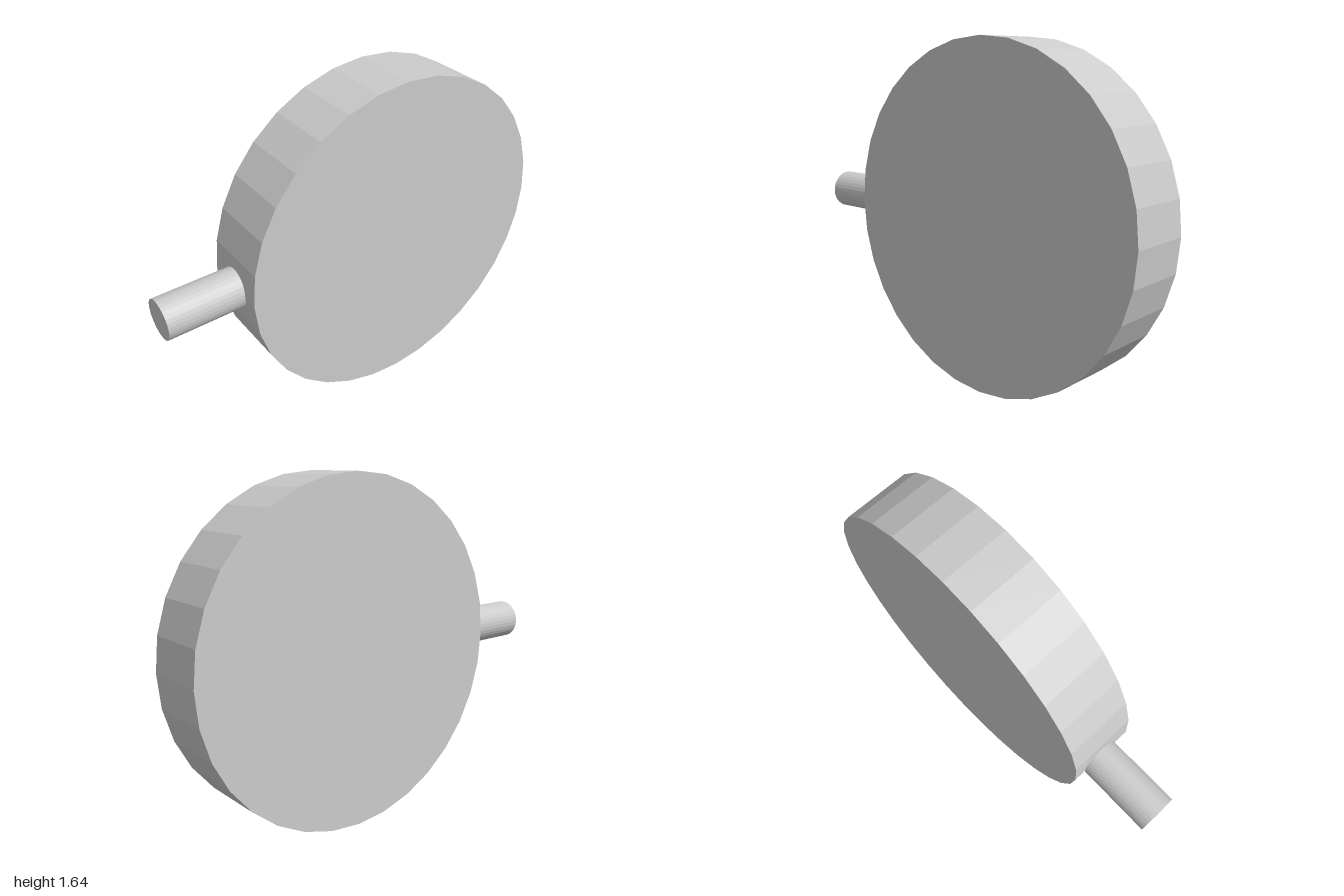
import * as THREE from 'three';

export function createModel() {
  const group = new THREE.Group();
  const material = new THREE.MeshStandardMaterial({ color: 0xcccccc, flatShading: true });
  const radius = 0.82;

  // Thick faceted disc standing on its rim, faces toward front and back
  const disc = new THREE.Mesh(new THREE.CylinderGeometry(radius, radius, 0.33, 32), material);
  disc.name = 'disc';
  disc.rotation.x = Math.PI / 2;
  disc.position.set(0.18, radius, 0);
  group.add(disc);

  // Round shaft coming out of the rim, its inner end sunk into the disc
  const outerEnd = -1, innerEnd = -0.6;
  const shaft = new THREE.Mesh(
    new THREE.CylinderGeometry(0.096, 0.096, innerEnd - outerEnd, 32), material);
  shaft.name = 'shaft';
  shaft.rotation.z = Math.PI / 2;
  shaft.position.set((outerEnd + innerEnd) / 2, radius, -0.008);
  group.add(shaft);

  return group;
}
